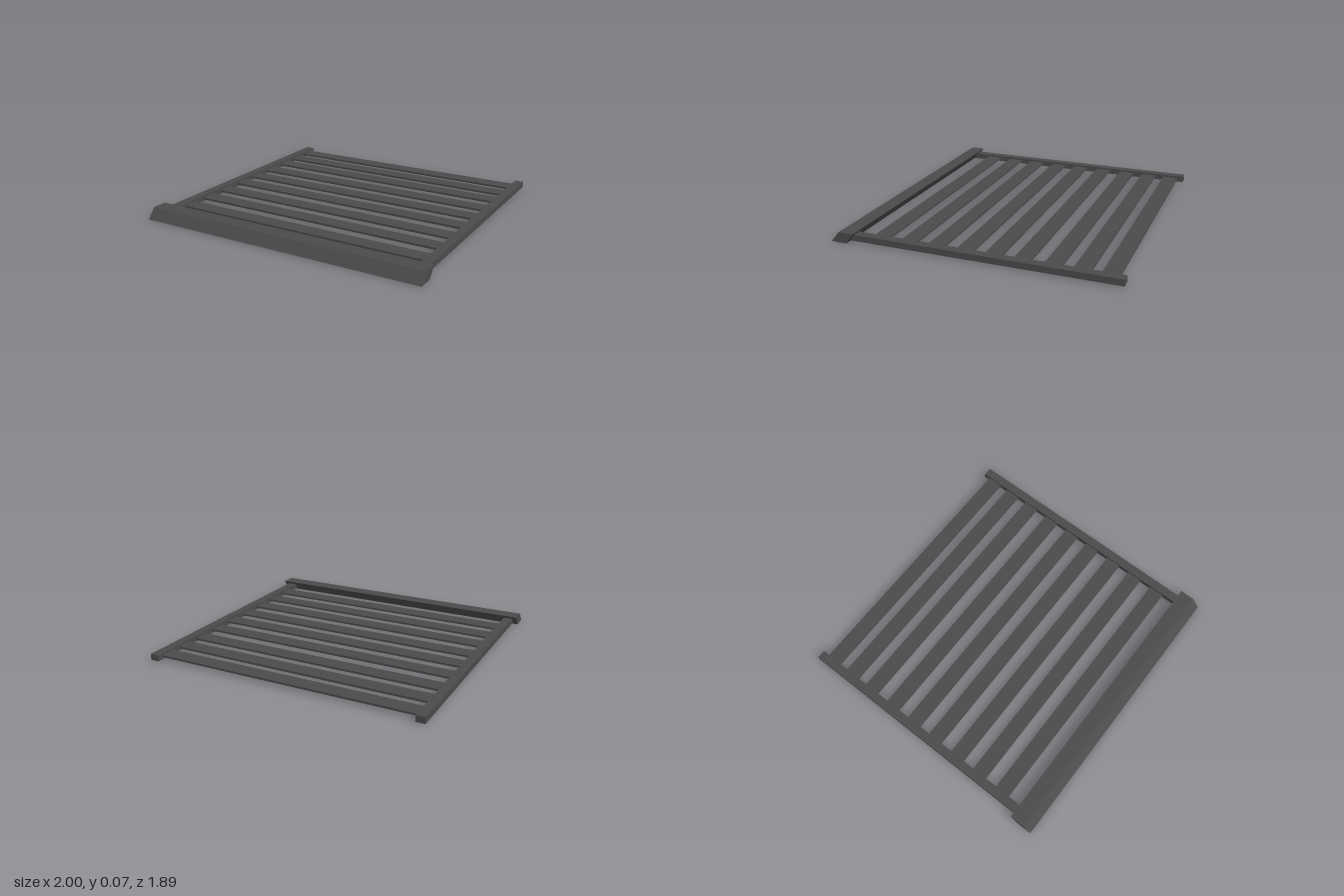
import * as THREE from 'three';

export function createModel() {
  const model = new THREE.Group();
  model.name = 'slattedFrame';
  const darkGrey = new THREE.MeshStandardMaterial({ color: 0x4b4b4b });
  darkGrey.name = 'darkGrey';

  const addBox = (name, size, position) => {
    const mesh = new THREE.Mesh(new THREE.BoxGeometry(...size), darkGrey);
    mesh.name = name;
    mesh.position.set(...position);
    model.add(mesh);
  };

  // Side rails, running from the back into the front bar
  for (const [name, side] of [['leftRail', 1], ['rightRail', -1]]) {
    addBox(name, [0.06, 0.042, 1.763], [side * 0.935, 0.03, -0.0615]);
  }

  // Thin cross slats, slightly unevenly spaced from back to front
  const slatCentres = [-0.846, -0.676, -0.5, -0.307, -0.12, 0.066, 0.259, 0.447, 0.639];
  slatCentres.forEach((z, i) => {
    addBox(`slat${i + 1}`, [1.82, 0.014, 0.106], [0, 0.03, z]);
  });

  // Front bar: a slanted profile of (z, y) points, extruded along x
  const profile = new THREE.Shape(
    [[0.943, 0], [0.885, 0.07], [0.783, 0.07], [0.836, 0]].map(([z, y]) => new THREE.Vector2(-z, y))
  );
  const barGeometry = new THREE.ExtrudeGeometry(profile, { depth: 2, bevelEnabled: false });
  barGeometry.translate(0, 0, -1).rotateY(Math.PI / 2);
  const bar = new THREE.Mesh(barGeometry, darkGrey);
  bar.name = 'frontBar';
  model.add(bar);

  return model;
}
